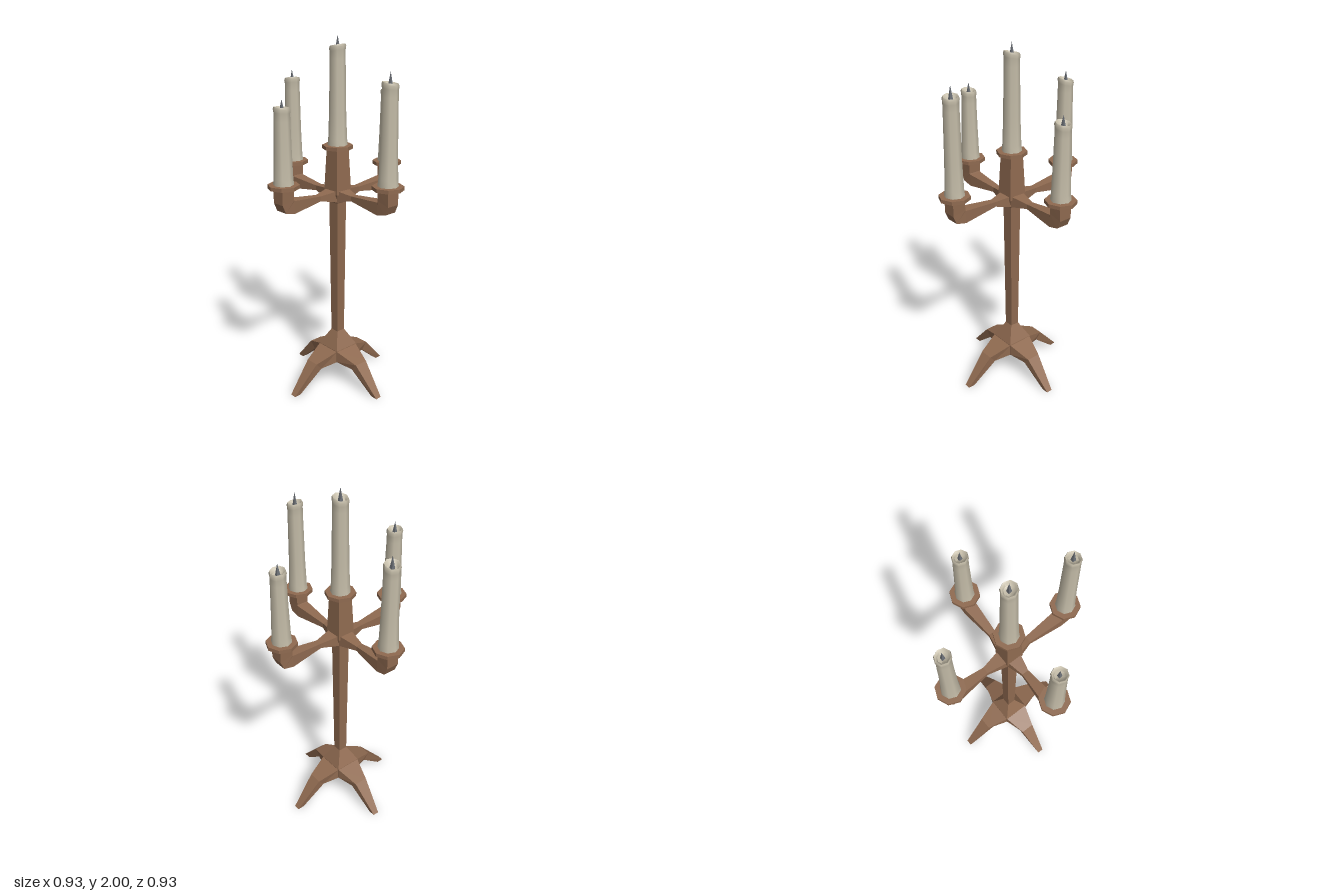
import * as THREE from 'three';
import { toCreasedNormals } from 'three/addons/utils/BufferGeometryUtils.js';

const wood = new THREE.MeshStandardMaterial({ color: 0x8f6a50, flatShading: true });
const wax = new THREE.MeshStandardMaterial({ color: 0xc4bca8 });
const wickGrey = new THREE.MeshStandardMaterial({ color: 0x6a6e74, flatShading: true });

function mesh(name, geometry, material) {
  const m = new THREE.Mesh(geometry, material);
  m.name = name;
  return m;
}

// Four-sided limb running along +x; each section is [topX, topY, bottomX, bottomY, halfWidth]
function limb(sections) {
  const rings = sections.map(([tx, ty, bx, by, w]) => [
    [tx, ty, w], [tx, ty, -w], [bx, by, -w], [bx, by, w],
  ]);
  const pos = [];
  const quad = (a, b, c, d) => [a, b, c, a, c, d].forEach((p) => pos.push(...p));
  for (let s = 0; s < rings.length - 1; s++) {
    const a = rings[s], b = rings[s + 1];
    for (let i = 0; i < 4; i++) {
      const j = (i + 1) % 4;
      quad(a[i], b[i], b[j], a[j]);
    }
  }
  const first = rings[0], last = rings[rings.length - 1];
  quad(first[0], first[1], first[2], first[3]);
  quad(last[3], last[2], last[1], last[0]);
  const g = new THREE.BufferGeometry();
  g.setAttribute('position', new THREE.Float32BufferAttribute(pos, 3));
  g.computeVertexNormals();
  return g;
}

// Square post: points are [halfSide, y]
function squarePost(points) {
  const profile = points.map(([r, y]) => new THREE.Vector2(r * Math.SQRT2, y));
  return new THREE.LatheGeometry(profile, 4, Math.PI / 4);
}

// Wax body with a flared foot, a hollow top and a slanting rim, plus its wick
function candle(height, tipHeight, slopeX, slopeZ) {
  const group = new THREE.Group();
  group.name = 'candle';
  const profile = [
    [0.055, 0], [0.051, 0.04], [0.046, 0.18], [0.042, height - 0.07], [0.042, height - 0.03],
    [0.045, height - 0.012], [0.041, height], [0.034, height - 0.004],
    [0.027, height - 0.02], [0, height - 0.025],
  ].map(([r, y]) => new THREE.Vector2(r, y));
  const body = new THREE.LatheGeometry(profile, 8);
  const p = body.attributes.position;
  for (let i = 0; i < p.count; i++) {
    if (p.getY(i) > height - 0.04) {
      p.setY(i, p.getY(i) + p.getX(i) * slopeX + p.getZ(i) * slopeZ);
    }
  }
  group.add(mesh('wax', toCreasedNormals(body, 1), wax));
  const wickLength = tipHeight - height + 0.03;
  const wick = mesh('wick', new THREE.ConeGeometry(0.015, wickLength, 4, 1, false, Math.PI / 4), wickGrey);
  wick.position.y = tipHeight - wickLength / 2;
  group.add(wick);
  return group;
}

// Octagonal drip dish with a candle standing on it
function holder(name, x, y, z, rim, tip, slopeX, slopeZ) {
  const group = new THREE.Group();
  group.name = name;
  group.position.set(x, y, z);
  const dish = mesh('dripDish', new THREE.CylinderGeometry(0.084, 0.084, 0.02, 8), wood);
  dish.position.y = 0.01;
  const c = candle(rim - y - 0.018, tip - y - 0.018, slopeX, slopeZ);
  c.position.y = 0.018;
  group.add(dish, c);
  return group;
}

export function createModel() {
  const model = new THREE.Group();
  model.name = 'candelabra';

  // Central post: foot hub, slim shaft, arm hub, tapering socket
  model.add(mesh('post', squarePost([
    [0, 0.14], [0.077, 0.145], [0.077, 0.215], [0.026, 0.31],
    [0.033, 1.1], [0.053, 1.155], [0.042, 1.405], [0, 1.405],
  ]), wood));

  // Four bent feet
  const footShape = limb([
    [0.07, 0.215, 0.07, 0.146, 0.077],
    [0.2, 0.163, 0.165, 0.123, 0.04],
    [0.347, 0, 0.308, 0, 0.018],
  ]);
  for (let i = 0; i < 4; i++) {
    const foot = mesh('foot', footShape, wood);
    foot.rotation.y = i * Math.PI / 2;
    model.add(foot);
  }

  // Four arms: waisted beam, elbow and upright, each carrying a candle
  const arms = [
    { name: 'left', angle: 0, reach: 0.383, waist: 0.13, rim: 1.795, tip: 1.85, slope: [-0.1, 0.1] },
    { name: 'back', angle: Math.PI / 2, reach: 0.388, waist: 0.15, rim: 1.68, tip: 1.72, slope: [0.05, 0.15] },
    { name: 'right', angle: Math.PI, reach: 0.383, waist: 0.16, rim: 1.745, tip: 1.79, slope: [0.2, 0.1] },
    { name: 'front', angle: -Math.PI / 2, reach: 0.376, waist: 0.14, rim: 1.67, tip: 1.71, slope: [0.02, 0.1] },
  ];
  for (const { name, angle, reach: c, waist, rim, tip, slope } of arms) {
    const arm = mesh(name + 'Arm', limb([
      [0.03, 1.178, 0.03, 1.11, 0.045],
      [waist, 1.162, waist, 1.134, 0.02],
      [c - 0.04, 1.18, c - 0.042, 1.11, 0.036],
      [c - 0.038, 1.185, c + 0.018, 1.124, 0.037],
      [c - 0.038, 1.19, c + 0.038, 1.17, 0.037],
      [c - 0.038, 1.255, c + 0.038, 1.255, 0.039],
    ]), wood);
    arm.rotation.y = angle;
    model.add(arm);
    model.add(holder(name + 'Holder', c * Math.cos(angle), 1.25, -c * Math.sin(angle), rim, tip, ...slope));
  }

  // Tallest candle on top of the post
  model.add(holder('centreHolder', 0, 1.402, 0, 1.95, 2.0, 0.2, 0));
  return model;
}
